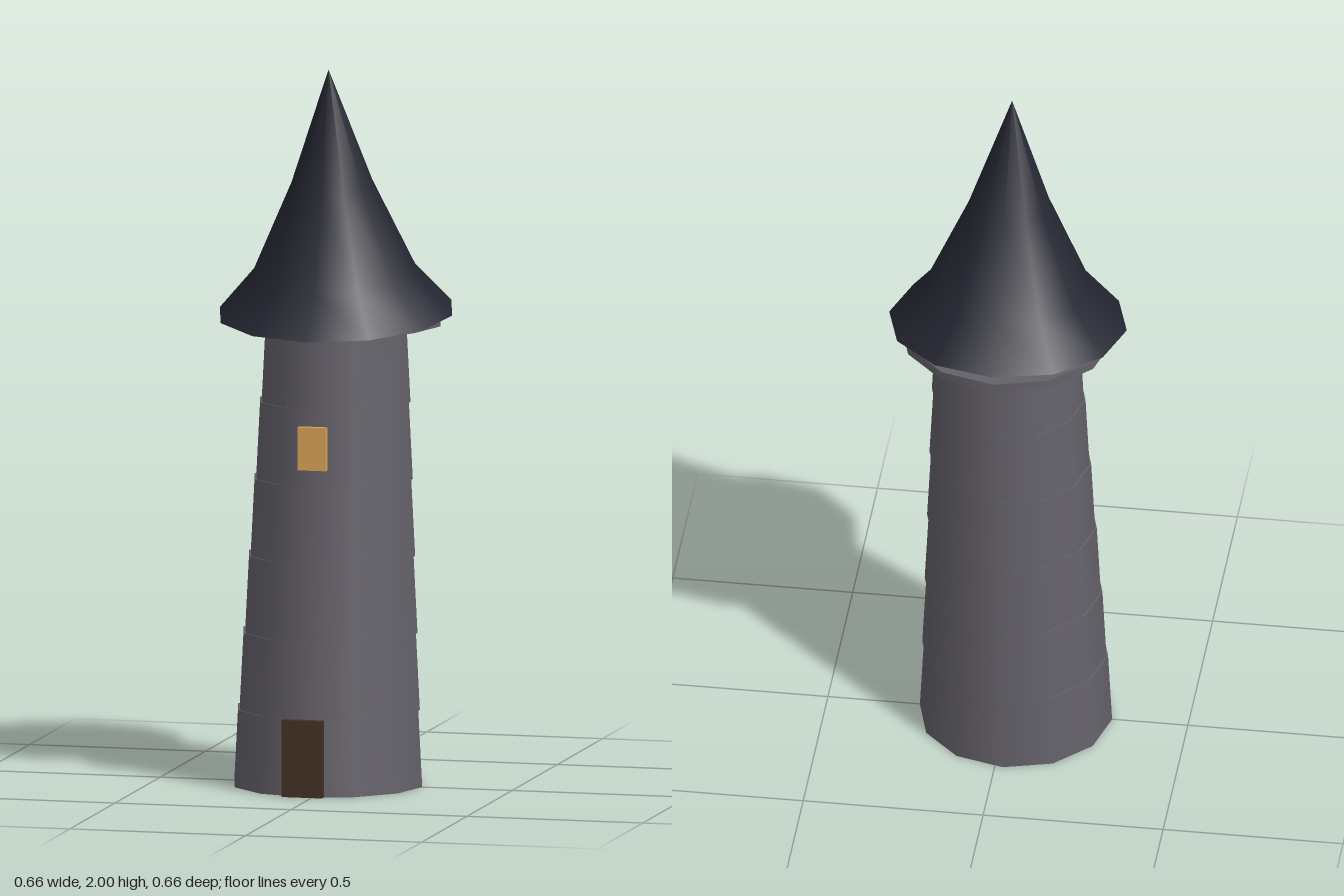
import * as THREE from 'three';

const material = (name, color, side = THREE.FrontSide) => {
  const m = new THREE.MeshStandardMaterial({ color, side });
  m.name = name;
  return m;
};

export function createModel() {
  const stone = material('grey stone', 0x65626a);
  const slate = material('dark slate', 0x262633, THREE.DoubleSide);
  const wood = material('dark wood', 0x443226);
  const glow = material('warm window light', 0xdba558);

  const tower = new THREE.Group();
  tower.name = 'tower';
  const add = (name, geometry, mat, x, y, z, parent = tower) => {
    const mesh = new THREE.Mesh(geometry, mat);
    mesh.name = name;
    mesh.position.set(x, y, z);
    parent.add(mesh);
    return mesh;
  };

  // Shaft: tapering drums, each shifted sideways a little from the next
  const SIDES = 12, DRUMS = 6, drumHeight = 0.214;
  const radiusAt = (i) => THREE.MathUtils.lerp(0.267, 0.2, i / DRUMS);
  for (let i = 0; i < DRUMS; i++) {
    const geometry = new THREE.CylinderGeometry(radiusAt(i + 1), radiusAt(i), drumHeight, SIDES);
    const lean = -0.0225 * (1 - i / (DRUMS - 1));
    add(`shaftDrum${i + 1}`, geometry, stone, lean, (i + 0.5) * drumHeight, 0);
  }

  // Flat stone ledge under the roof
  add('ledge', new THREE.CylinderGeometry(0.297, 0.297, 0.026, SIDES), stone, 0, 1.297, 0);

  // Flared roof, tipped towards the front
  const roof = new THREE.Group();
  roof.name = 'roof';
  roof.position.set(0, 1.315, 0.002);
  roof.rotation.x = 0.12;
  tower.add(roof);
  const profile = [[0.33, 0], [0.229, 0.115], [0.115, 0.365], [0, 0.69]]
    .map(([r, y]) => new THREE.Vector2(r, y));
  add('roofCone', new THREE.LatheGeometry(profile, SIDES), slate, 0, 0, 0, roof);
  const underside = new THREE.CircleGeometry(0.33, SIDES).rotateX(Math.PI / 2);
  add('roofUnderside', underside, slate, 0, 0, 0, roof);

  // Door and the window standing proud of the wall
  add('door', new THREE.BoxGeometry(0.115, 0.214, 0.022), wood, -0.027, 0.107, 0.266);
  add('window', new THREE.BoxGeometry(0.08, 0.12, 0.018), glow, 0, 0.97, 0.263);

  return tower;
}
